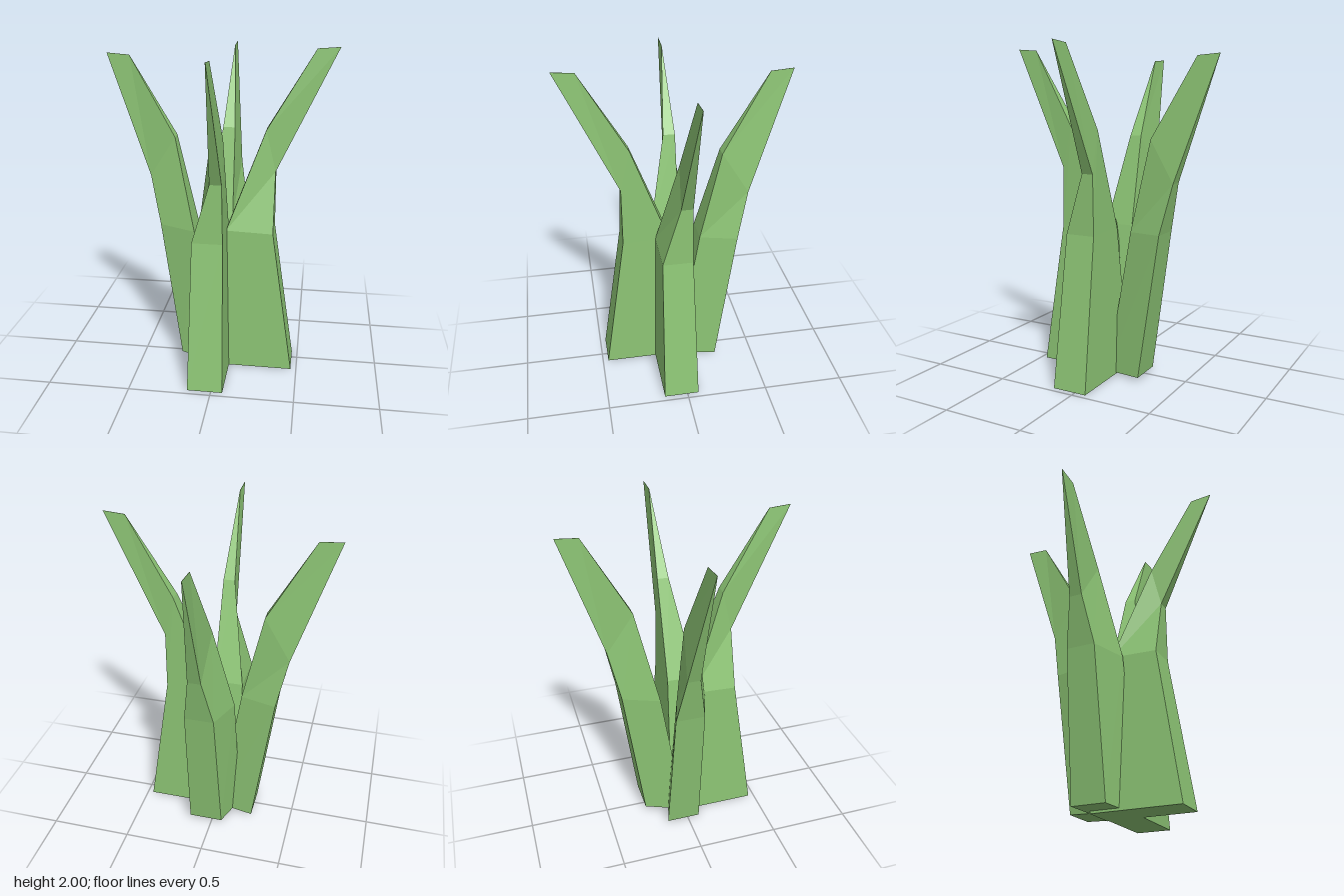
import * as THREE from 'three';

const material = new THREE.MeshStandardMaterial({ color: 0x8cc474, flatShading: true });

// Each section is [inner edge, outer edge]; an edge is [reach, height, side from, side to].
const broadBlade = [
  [[-0.08, 0, -0.145, 0.07], [0.465, 0, -0.145, 0.07]],
  [[0.047, 0.92, -0.13, 0.053], [0.33, 0.91, -0.13, 0.053]],
  [[0.27, 1.52, -0.023, 0.048], [0.33, 1.27, -0.023, 0.048]],
  [[0.545, 1.99, 0.014, 0.016], [0.675, 2.0, 0.014, 0.016]],
];
const slimBlade = [
  [[0, 0, -0.07, 0.14], [0.247, 0.025, -0.142, 0.068]],
  [[0.148, 0.9, -0.053, 0.127], [0.37, 0.91, -0.125, 0.053]],
  [[0.275, 1.46, -0.05, 0.025], [0.435, 1.21, -0.08, 0]],
  [[0.545, 1.935, -0.016, -0.014], [0.68, 1.945, -0.016, -0.014]],
];

// Loft four-cornered sections into a closed blade leaning towards +z.
function bladeGeometry(sections) {
  const positions = [];
  const indices = [];
  for (const [inner, outer] of sections) {
    positions.push(inner[2], inner[1], inner[0], outer[2], outer[1], outer[0]);
    positions.push(outer[3], outer[1], outer[0], inner[3], inner[1], inner[0]);
  }
  for (let s = 0; s < sections.length - 1; s++) {
    for (let i = 0; i < 4; i++) {
      const a = s * 4 + i;
      const b = s * 4 + ((i + 1) % 4);
      indices.push(a, b, b + 4, a, b + 4, a + 4);
    }
  }
  // Base and tip caps
  const t = (sections.length - 1) * 4;
  indices.push(0, 2, 1, 0, 3, 2, t, t + 1, t + 2, t, t + 2, t + 3);
  const geometry = new THREE.BufferGeometry();
  geometry.setAttribute('position', new THREE.Float32BufferAttribute(positions, 3));
  geometry.setIndex(indices);
  const flat = geometry.toNonIndexed();
  flat.computeVertexNormals();
  return flat;
}

export function createModel() {
  const group = new THREE.Group();
  group.name = 'grassTuft';
  const broad = bladeGeometry(broadBlade);
  const slim = bladeGeometry(slimBlade);

  // Four blades, a quarter turn apart
  const blades = [['frontBlade', broad], ['leftBlade', broad], ['backBlade', slim], ['rightBlade', slim]];
  blades.forEach(([name, geometry], i) => {
    const blade = new THREE.Mesh(geometry, material);
    blade.name = name;
    blade.rotation.y = (i * Math.PI) / 2;
    group.add(blade);
  });
  return group;
}
